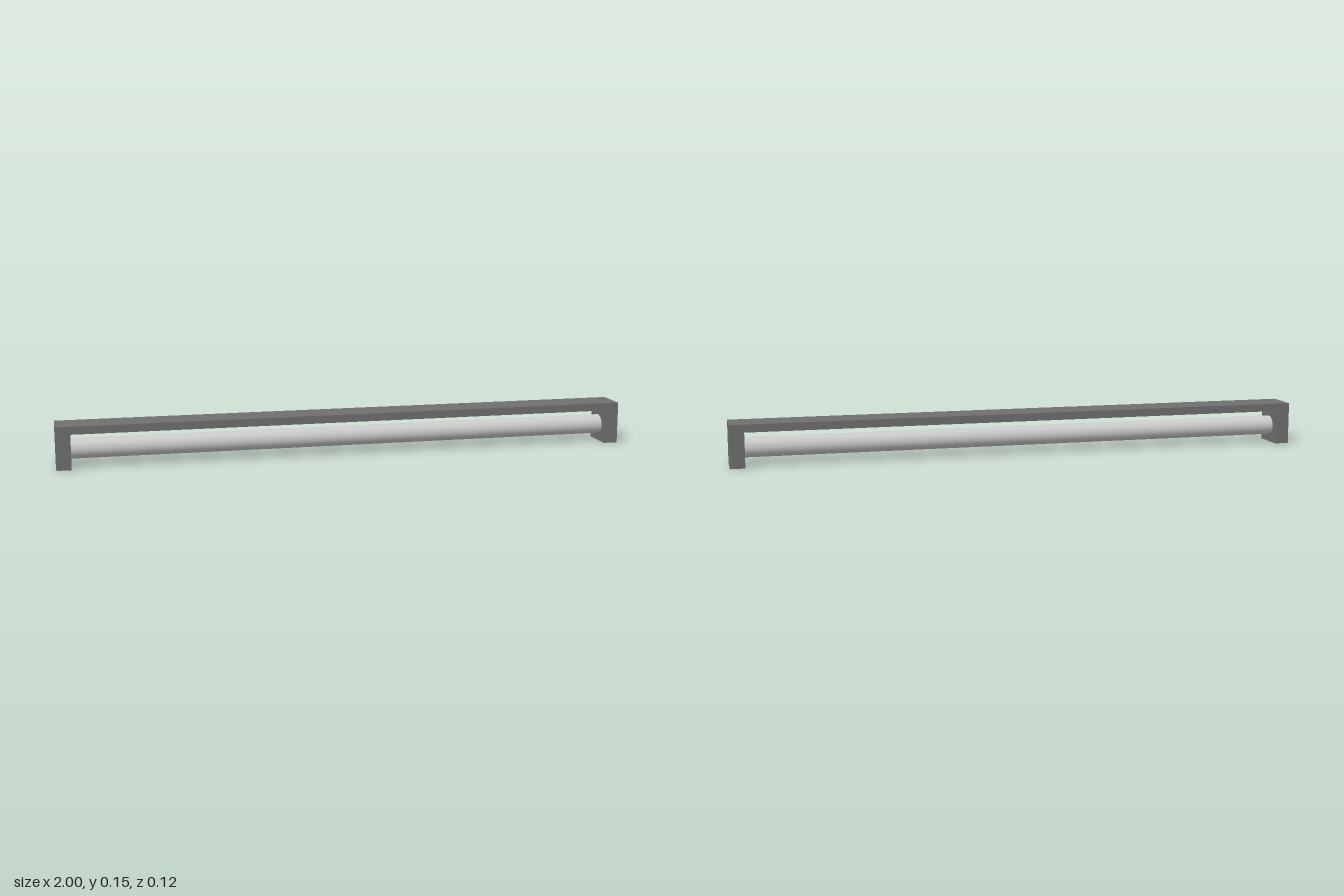
import * as THREE from 'three';

const HALF = 1, HEIGHT = 0.147, DEPTH = 0.12;
const INNER = 0.95, UNDERSIDE = 0.12;
const TUBE_RADIUS = 0.034, TUBE_Y = 0.061;

export function createModel() {
  const model = new THREE.Group();
  model.name = 'tubeLight';

  // Housing: top bar and two end caps in one U-shaped extrusion
  const outline = new THREE.Shape([
    [-HALF, 0], [-INNER, 0], [-INNER, UNDERSIDE], [INNER, UNDERSIDE],
    [INNER, 0], [HALF, 0], [HALF, HEIGHT], [-HALF, HEIGHT],
  ].map(([x, y]) => new THREE.Vector2(x, y)));
  const housingGeometry = new THREE.ExtrudeGeometry(outline, { depth: DEPTH, bevelEnabled: false });
  housingGeometry.translate(0, 0, -DEPTH / 2);
  const housing = new THREE.Mesh(housingGeometry, new THREE.MeshStandardMaterial({ color: 0x707070 }));
  housing.name = 'housing';
  model.add(housing);

  // Round tube spanning between the end caps
  const tubeGeometry = new THREE.CylinderGeometry(TUBE_RADIUS, TUBE_RADIUS, INNER * 2, 32, 1, true);
  tubeGeometry.rotateZ(Math.PI / 2);
  const tube = new THREE.Mesh(tubeGeometry, new THREE.MeshStandardMaterial({ color: 0xcccccc }));
  tube.name = 'tube';
  tube.position.y = TUBE_Y;
  model.add(tube);

  return model;
}
